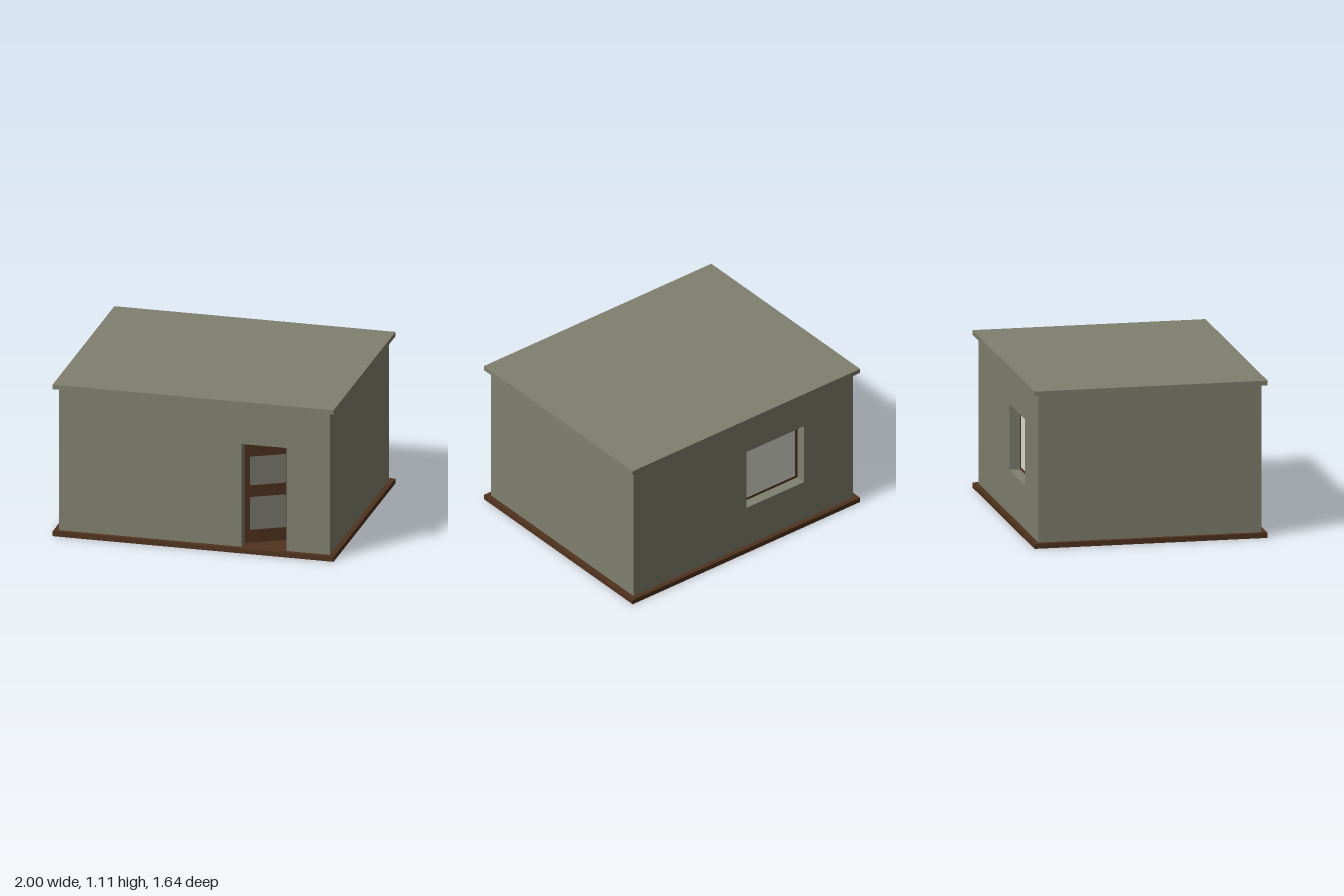
import * as THREE from 'three';

const mat = (name, color) => {
  const m = new THREE.MeshStandardMaterial({ color });
  m.name = name;
  return m;
};

export function createModel() {
  const plaster = mat('olive plaster', 0x80806f);
  const wood = mat('dark wood', 0x50331f);
  const windowGlass = mat('pale window glass', 0xdcdcd2);
  const doorGlass = mat('grey door glass', 0x7c7c72);

  const model = new THREE.Group();
  model.name = 'smallHouse';

  const FLOOR = 0.035, CEIL = 1.074, TOP = 1.107;
  const WX = 0.965, WZ = 0.785, T = 0.075;

  const add = (parent, name, geometry, material) => {
    const m = new THREE.Mesh(geometry, material);
    m.name = name;
    parent.add(m);
    return m;
  };
  // box given by its minimum and maximum corners
  const box = (parent, name, material, [x0, y0, z0], [x1, y1, z1]) => {
    const m = add(parent, name, new THREE.BoxGeometry(x1 - x0, y1 - y0, z1 - z0), material);
    m.position.set((x0 + x1) / 2, (y0 + y1) / 2, (z0 + z1) / 2);
    return m;
  };
  const rect = (Type, x0, y0, x1, y1) => new Type([
    [x0, y0], [x1, y0], [x1, y1], [x0, y1],
  ].map(([x, y]) => new THREE.Vector2(x, y)));
  const extrude = (shape, depth) => new THREE.ExtrudeGeometry(shape, { depth, bevelEnabled: false });

  // floor slab and flat roof
  box(model, 'floorSlab', wood, [-1, 0, -0.82], [1, FLOOR, 0.82]);
  box(model, 'roofSlab', plaster, [-1, CEIL, -0.82], [1, TOP, 0.82]);

  // side walls
  for (const s of [-1, 1]) {
    const wall = box(model, s > 0 ? 'leftWall' : 'rightWall', plaster,
      [-T / 2, FLOOR, -WZ + T], [T / 2, CEIL, WZ - T]);
    wall.position.x = s * (WX - T / 2);
  }

  // front wall with a doorway notch reaching the floor
  const D0 = 0.335, D1 = 0.657, DTOP = 0.787;
  const front = new THREE.Shape([
    [-WX, FLOOR], [D0, FLOOR], [D0, DTOP], [D1, DTOP], [D1, FLOOR],
    [WX, FLOOR], [WX, CEIL], [-WX, CEIL],
  ].map(([x, y]) => new THREE.Vector2(x, y)));
  add(model, 'frontWall', extrude(front, T), plaster).position.z = WZ - T;

  // back wall with a window opening
  const W = [-0.535, 0.345, -0.03, 0.81];
  const back = rect(THREE.Shape, -WX, FLOOR, WX, CEIL);
  back.holes.push(rect(THREE.Path, ...W));
  add(model, 'backWall', extrude(back, T), plaster).position.z = -WZ;

  // window set at the inner edge of the wall
  const win = new THREE.Group();
  win.name = 'window';
  win.position.z = -WZ + T;
  model.add(win);
  const F = 0.016;
  const glassRect = [W[0] + F, W[1] + F, W[2] - F, W[3] - F];
  const frame = rect(THREE.Shape, ...W);
  frame.holes.push(rect(THREE.Path, ...glassRect));
  add(win, 'windowFrame', extrude(frame, 0.03), wood);
  box(win, 'windowPane', windowGlass,
    [glassRect[0], glassRect[1], 0.004], [glassRect[2], glassRect[3], 0.012]);

  // door standing ajar, hinged at the inner edge of the doorway
  const door = new THREE.Group();
  door.name = 'door';
  door.position.set(D0 + 0.004, 0, WZ - T);
  door.rotation.y = THREE.MathUtils.degToRad(28);
  model.add(door);
  const leaf = rect(THREE.Shape, 0, FLOOR + 0.002, 0.325, DTOP - 0.002);
  const panes = [[0.036, 0.13, 0.29, 0.37], [0.036, 0.455, 0.29, 0.665]];
  panes.forEach((p) => leaf.holes.push(rect(THREE.Path, ...p)));
  add(door, 'doorLeaf', extrude(leaf, 0.03), wood).position.z = -0.03;
  panes.forEach(([x0, y0, x1, y1], i) => {
    box(door, i ? 'upperDoorPane' : 'lowerDoorPane', doorGlass, [x0, y0, -0.01], [x1, y1, -0.002]);
  });

  return model;
}
